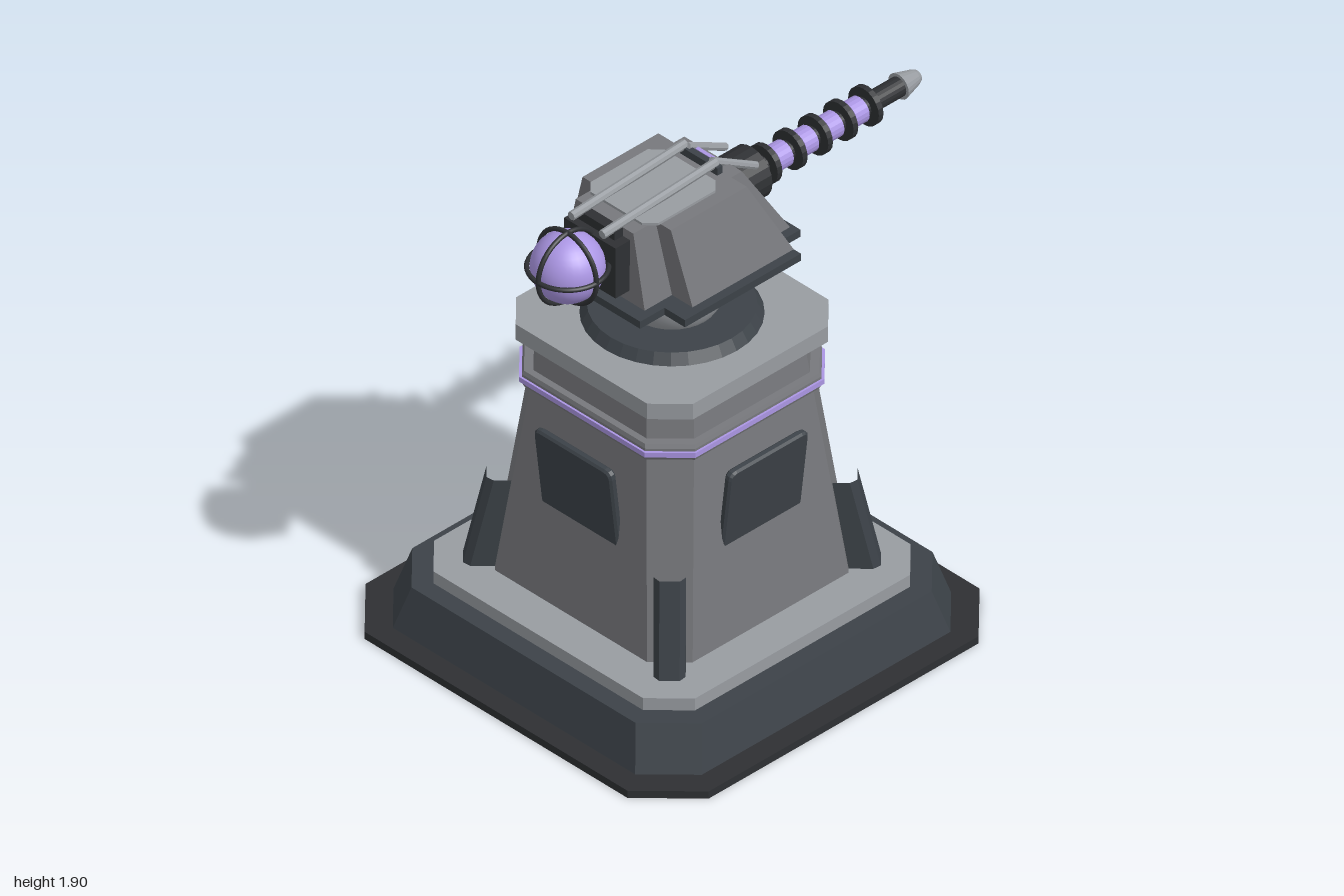
import * as THREE from 'three';

const mat = (color, flatShading = true) => new THREE.MeshStandardMaterial({ color, flatShading });
const DARK = mat(0x3c4248), BLACK = mat(0x2e3033), GREY = mat(0x77787c), LIGHT = mat(0x989ca1);
const PURPLE = mat(0xab96e4), BALL = mat(0x989ca1, false), LENS = mat(0xab96e4, false), WIRE = mat(0x2e3033, false);

function add(parent, name, geometry, material, x = 0, y = 0, z = 0) {
  const mesh = new THREE.Mesh(geometry, material);
  mesh.name = name;
  mesh.position.set(x, y, z);
  parent.add(mesh);
  return mesh;
}

// Closed solid through matching outlines; each section is [y, [[x, z], ...]]
function loft(...sections) {
  const v = [];
  const put = ([y, pts], i) => v.push(pts[i][0], y, pts[i][1]);
  for (let s = 0; s < sections.length - 1; s++) {
    const lo = sections[s], hi = sections[s + 1], n = lo[1].length;
    for (let i = 0; i < n; i++) {
      const j = (i + 1) % n;
      put(lo, i); put(lo, j); put(hi, j);
      put(lo, i); put(hi, j); put(hi, i);
    }
  }
  const cap = (sec, flip) => {
    const outline = sec[1].map(([x, z]) => new THREE.Vector2(x, -z));
    for (const [a, b, c] of THREE.ShapeUtils.triangulateShape(outline, [])) {
      put(sec, a); put(sec, flip ? c : b); put(sec, flip ? b : c);
    }
  };
  cap(sections[0], true);
  cap(sections[sections.length - 1], false);
  const g = new THREE.BufferGeometry();
  g.setAttribute('position', new THREE.Float32BufferAttribute(v, 3));
  g.computeVertexNormals();
  return g;
}

// Rectangle with cut corners
const octagon = (hx, hz, c) => [
  [-hx + c, hz], [hx - c, hz], [hx, hz - c], [hx, -hz + c],
  [hx - c, -hz], [-hx + c, -hz], [-hx, -hz + c], [-hx, hz - c]];
const square = (y, h, c) => [y, octagon(h, h, c)];

// Cross-shaped outline: wide middle (ox) with a longer, narrower spine (nx)
const cross = (ox, f1, b1, nx, f2, b2) => [
  [-nx, f2], [nx, f2], [nx, f1], [ox, f1], [ox, b1], [nx, b1],
  [nx, b2], [-nx, b2], [-nx, b1], [-ox, b1], [-ox, f1], [-nx, f1]];

function beam(parent, name, a, b, r, material) {
  const p = new THREE.Vector3(...a), q = new THREE.Vector3(...b);
  const m = add(parent, name, new THREE.CylinderGeometry(r, r, p.distanceTo(q), 8), material);
  m.position.copy(p).lerp(q, 0.5);
  m.quaternion.setFromUnitVectors(new THREE.Vector3(0, 1, 0), q.sub(p).normalize());
}

function ventGeometry() {
  const w = 0.18, h = 0.165, c = 0.025;
  const s = new THREE.Shape();
  s.moveTo(-w + c, -h); s.lineTo(w - c, -h); s.quadraticCurveTo(w, -h, w, -h + c);
  s.lineTo(w, h - c); s.quadraticCurveTo(w, h, w - c, h);
  s.lineTo(-w + c, h); s.quadraticCurveTo(-w, h, -w, h - c);
  s.lineTo(-w, -h + c); s.quadraticCurveTo(-w, -h, -w + c, -h);
  return new THREE.ExtrudeGeometry(s, {
    depth: 0.015, bevelEnabled: true, bevelSize: 0.008, bevelThickness: 0.008, bevelSegments: 1, curveSegments: 3
  }).translate(0, 0, -0.0075);
}

function createPedestal() {
  const g = new THREE.Group();
  g.name = 'pedestal';
  g.position.z = 0.165;
  add(g, 'groundPlate', loft(square(0, 0.835, 0.195), square(0.03, 0.835, 0.195)), BLACK);
  add(g, 'plinth', loft(square(0.03, 0.75, 0.16), square(0.2, 0.705, 0.16)), DARK);
  add(g, 'plinthSlab', loft(square(0.2, 0.635, 0.125), square(0.25, 0.635, 0.125)), LIGHT);
  add(g, 'tower', loft(square(0.25, 0.48, 0.11), square(1.23, 0.375, 0.115)), GREY);
  add(g, 'band', loft(square(1.03, 0.415, 0.12), square(1.045, 0.42, 0.12),
    square(1.08, 0.42, 0.12), square(1.095, 0.415, 0.12)), GREY);
  add(g, 'lightStrip', loft(square(1.05, 0.428, 0.122), square(1.07, 0.428, 0.122)), PURPLE);
  add(g, 'capSlab', loft(square(1.22, 0.43, 0.11), square(1.285, 0.43, 0.11)), LIGHT);
  add(g, 'collar', new THREE.CylinderGeometry(0.29, 0.315, 0.04, 32), DARK, 0, 1.305, 0);
  add(g, 'swivelBall', new THREE.SphereGeometry(0.19, 32, 20), BALL, 0, 1.43, 0);

  const fin = (y, inner, outer) => [y, [
    [-0.055, inner], [0.055, inner], [0.055, outer - 0.025], [0.035, outer],
    [-0.035, outer], [-0.055, outer - 0.025]].reverse()];
  const finGeometry = loft(...[fin(0.25, 0.5, 0.71), fin(0.61, 0.48, 0.63)].map(([y, p]) => [y, p.reverse()]));
  // inner edge first runs clockwise from above, so mirror it across x
  finGeometry.scale(-1, 1, 1);
  const vent = ventGeometry();
  for (let i = 0; i < 4; i++) {
    const side = new THREE.Group();
    side.name = 'side';
    side.rotation.y = i * Math.PI / 2;
    g.add(side);
    add(side, 'vent', vent, DARK, 0, 0.772, 0.443).rotation.x = 0.12;
    add(side, 'cornerFin', finGeometry, DARK).rotation.y = Math.PI / 4;
  }
  return g;
}

function createHead() {
  const g = new THREE.Group();
  g.name = 'head';
  add(g, 'headPlate', loft([1.53, cross(0.335, 0.43, -0.12, 0.235, 0.545, -0.215)],
    [1.56, cross(0.335, 0.43, -0.12, 0.235, 0.545, -0.215)]), DARK);
  add(g, 'housing', loft([1.56, cross(0.3, 0.36, -0.12, 0.2, 0.49, -0.2)],
    [1.85, cross(0.215, 0.38, 0.02, 0.14, 0.485, -0.03)]), GREY);
  add(g, 'roofPad', loft([1.85, octagon(0.165, 0.175, 0.04)], [1.86, octagon(0.165, 0.175, 0.04)]), LIGHT, 0, 0, 0.255);
  add(g, 'roofLight', new THREE.BoxGeometry(0.12, 0.02, 0.015), PURPLE, 0, 1.857, 0);
  add(g, 'roofBar', new THREE.BoxGeometry(0.2, 0.03, 0.025), DARK, 0, 1.865, 0.035);

  // Roof rails
  for (const s of [-1, 1]) {
    beam(g, 'rail', [s * 0.075, 1.855, 0.57], [s * 0.075, 1.885, 0.03], 0.017, LIGHT);
    beam(g, 'rearRail', [s * 0.06, 1.885, 0.035], [s * 0.075, 1.775, -0.16], 0.015, LIGHT);
  }

  // Caged lens at the front
  add(g, 'lensMount', new THREE.BoxGeometry(0.25, 0.21, 0.07), BLACK, 0, 1.71, 0.52);
  add(g, 'lensBlock', new THREE.BoxGeometry(0.18, 0.25, 0.05), BLACK, 0, 1.725, 0.5);
  add(g, 'lens', new THREE.SphereGeometry(0.13, 32, 20), LENS, 0, 1.73, 0.66);
  const ring = new THREE.TorusGeometry(0.14, 0.009, 8, 40);
  for (const [rx, ry] of [[0, 0], [Math.PI / 2, 0], [0, Math.PI / 2]]) {
    add(g, 'cageRing', ring, WIRE, 0, 1.73, 0.66).rotation.set(rx, ry, 0);
  }
  return g;
}

function createBarrel() {
  // Built along +y, then turned to point backwards
  const g = new THREE.Group();
  g.name = 'barrel';
  g.position.y = 1.685;
  g.rotation.x = -Math.PI / 2;
  const tube = (name, r0, r1, from, to, material) =>
    add(g, name, new THREE.CylinderGeometry(r1, r0, to - from, 20), material, 0, (from + to) / 2, 0);
  tube('barrelMount', 0.1, 0.1, 0.02, 0.215, BLACK);
  tube('barrelTube', 0.038, 0.038, 0.2, 0.93, BLACK);
  for (let i = 0; i < 5; i++) {
    const z = 0.275 + i * 0.12;
    tube('barrelRing', 0.075, 0.075, z - 0.011, z + 0.011, BLACK);
    if (i < 4) tube('energyCoil', 0.05, 0.05, z + 0.03, z + 0.09, PURPLE);
  }
  tube('muzzle', 0.05, 0.03, 0.91, 0.985, LIGHT);
  tube('muzzleEnd', 0.03, 0.022, 0.985, 1, LIGHT);
  return g;
}

export function createModel() {
  const model = new THREE.Group();
  model.name = 'turret';
  model.add(createPedestal(), createHead(), createBarrel());
  return model;
}
